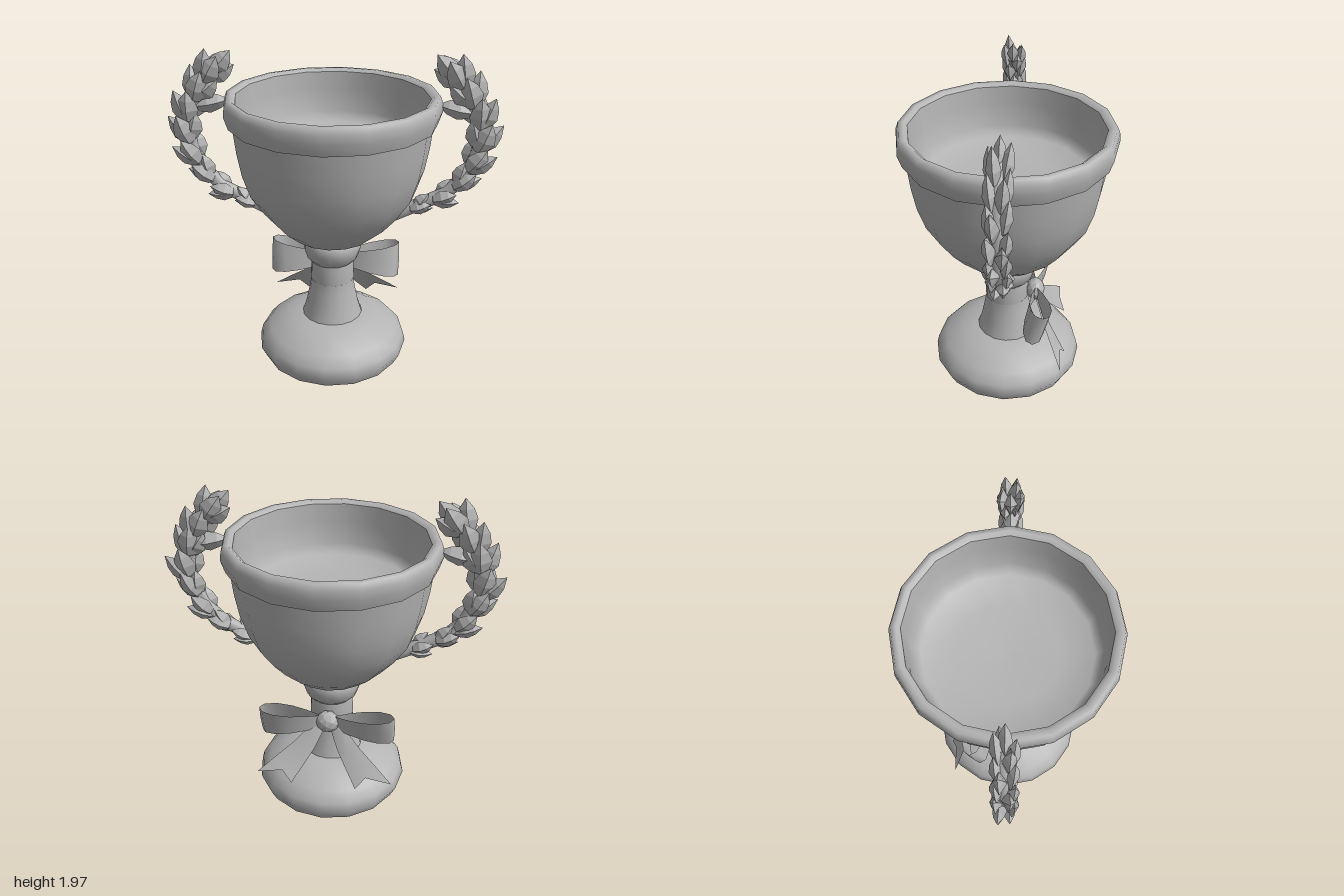
import * as THREE from 'three';

const V2 = (p) => new THREE.Vector2(p[0], p[1]);
const V3 = (x, y, z) => new THREE.Vector3(x, y, z);

export function createModel() {
  const model = new THREE.Group();
  const metal = new THREE.MeshStandardMaterial({ color: 0xb4b4b4, side: THREE.DoubleSide });
  metal.name = 'grey metal';

  const add = (parent, name, geometry) => {
    const mesh = new THREE.Mesh(geometry, metal);
    mesh.name = name;
    parent.add(mesh);
    return mesh;
  };
  const flat = (geometry) => {
    const g = geometry.toNonIndexed();
    g.computeVertexNormals();
    return g;
  };
  const lathe = (name, profile, segments = 16) =>
    add(model, name, new THREE.LatheGeometry(profile.map(V2), segments));

  // Foot, stem and collar
  lathe('footUnderside', [[0, 0.01], [0.44, 0.01]]);
  lathe('foot', [[0.44, 0.01], [0.475, 0.08], [0.46, 0.14], [0.41, 0.2], [0.29, 0.27], [0.19, 0.285]]);
  lathe('stem', [[0.19, 0.28], [0.165, 0.36], [0.145, 0.46], [0.13, 0.54], [0.125, 0.72]]);
  lathe('stemBand', [[0.13, 0.53], [0.137, 0.535], [0.132, 0.66], [0.125, 0.665]]);
  lathe('collar', [[0.12, 0.65], [0.16, 0.69], [0.178, 0.75], [0.175, 0.79], [0.16, 0.81]]);

  // Bowl, rounded rim and shallow inner dish
  lathe('bowl', [[0.15, 0.8], [0.25, 0.848], [0.34, 0.925], [0.42, 1.02], [0.5, 1.14],
    [0.545, 1.28], [0.57, 1.42], [0.586, 1.57]]);
  lathe('rimUnderside', [[0.575, 1.57], [0.61, 1.57]]);
  lathe('rim', [[0.61, 1.57], [0.632, 1.64], [0.628, 1.69], [0.615, 1.725], [0.585, 1.728], [0.562, 1.71]]);
  lathe('bowlInside', [[0.562, 1.71], [0.55, 1.6], [0.533, 1.46], [0.49, 1.4], [0.3, 1.37], [0, 1.36]]);

  // Faceted leaf growing along +y from its stalk
  const leafGeometry = flat(new THREE.LatheGeometry(
    [[0, 0], [0.32, 0.15], [0.5, 0.45], [0.36, 0.72], [0, 1]].map(V2), 4));

  // Laurel handles, mirrored by side
  const wreath = (side) => {
    const group = new THREE.Group();
    group.name = side > 0 ? 'leftHandle' : 'rightHandle';
    model.add(group);
    const curve = new THREE.CatmullRomCurve3([
      [0.37, 0.98], [0.53, 1.06], [0.69, 1.15], [0.79, 1.28], [0.845, 1.43],
      [0.83, 1.6], [0.765, 1.74], [0.67, 1.86],
    ].map(([x, y]) => V3(side * x, y, 0)));
    add(group, 'branch', new THREE.TubeGeometry(curve, 16, 0.04, 6));

    const placeLeaf = (position, direction, length, width, thickness) => {
      const dir = direction.clone().normalize();
      const across = V3(dir.y, -dir.x, 0).normalize();
      const normal = across.clone().cross(dir);
      const mesh = add(group, 'leaf', leafGeometry);
      mesh.quaternion.setFromRotationMatrix(new THREE.Matrix4().makeBasis(across, dir, normal));
      mesh.scale.set(width, length, thickness);
      mesh.position.copy(position);
    };
    const leaf = (t, angle, length, width, z, lean) => {
      const tangent = curve.getTangent(t);
      const out = V3(tangent.y, -tangent.x, 0).multiplyScalar(side);
      const dir = tangent.multiplyScalar(Math.cos(angle))
        .addScaledVector(out, Math.sin(angle)).add(V3(0, 0, lean));
      placeLeaf(curve.getPoint(t).add(V3(0, 0, z)), dir, length, width, 0.075);
    };
    const count = 8;
    for (let i = 0; i < count; i++) {
      const t = 0.08 + 0.8 * i / (count - 1);
      const size = 0.75 + 0.35 * Math.min(1, i / 4);
      const twist = i % 2 ? 1 : -1;
      leaf(t, 0.48, 0.2 * size, 0.11 * size, 0.015 * twist, 0.08 * twist);
      leaf(t + 0.03, -0.4, 0.17 * size, 0.11 * size, -0.015 * twist, -0.08 * twist);
      leaf(t, 0.1, 0.19 * size, 0.12 * size, 0.025, 0.15);
      leaf(t + 0.02, 0.05, 0.19 * size, 0.12 * size, -0.025, -0.15);
    }
    leaf(0.95, 0, 0.19, 0.12, 0, 0);
    // Leaf that reaches back to the rim
    placeLeaf(V3(side * 0.83, 1.63, 0), V3(-side, 0.2, 0), 0.24, 0.12, 0.1);
  };

  // Surface swept through rows of points
  const strip = (rows) => {
    const n = rows[0].length;
    const g = new THREE.PlaneGeometry(1, 1, n - 1, rows.length - 1);
    rows.flat().forEach((p, i) => g.attributes.position.setXYZ(i, ...p));
    g.computeVertexNormals();
    return g;
  };

  // Bow tied behind the stem
  const bow = new THREE.Group();
  bow.name = 'bow';
  model.add(bow);
  const knot = add(bow, 'knot', flat(new THREE.IcosahedronGeometry(0.075, 1)));
  knot.scale.set(1, 0.95, 0.8);
  knot.position.set(0, 0.57, -0.18);

  const bowSide = (side) => {
    const rows = [];
    for (let i = 0; i <= 12; i++) {
      const a = Math.PI * 2 * i / 12;
      const k = (1 - Math.cos(a)) / 2;
      const x = side * (0.04 + 0.375 * k);
      const z = -0.185 - 0.02 * k + 0.085 * Math.sin(a) * Math.sqrt(k);
      const half = 0.045 + 0.06 * k;
      const tilt = 0.03 * k;
      rows.push([[x, 0.57 + half, z - tilt], [x * 1.01, 0.57, z], [x, 0.57 - half, z + tilt]]);
    }
    add(bow, 'ribbonLoop', strip(rows));

    // Tail with a notched end
    add(bow, 'ribbonTail', strip([
      [[side * 0.02, 0.52, -0.19], [side * 0.06, 0.54, -0.2], [side * 0.1, 0.55, -0.19]],
      [[side * 0.07, 0.41, -0.25], [side * 0.14, 0.42, -0.26], [side * 0.2, 0.44, -0.24]],
      [[side * 0.13, 0.32, -0.31], [side * 0.21, 0.33, -0.31], [side * 0.3, 0.36, -0.29]],
      [[side * 0.2, 0.22, -0.38], [side * 0.26, 0.29, -0.35], [side * 0.42, 0.26, -0.35]],
    ]));
  };

  for (const side of [1, -1]) {
    wreath(side);
    bowSide(side);
  }
  return model;
}
